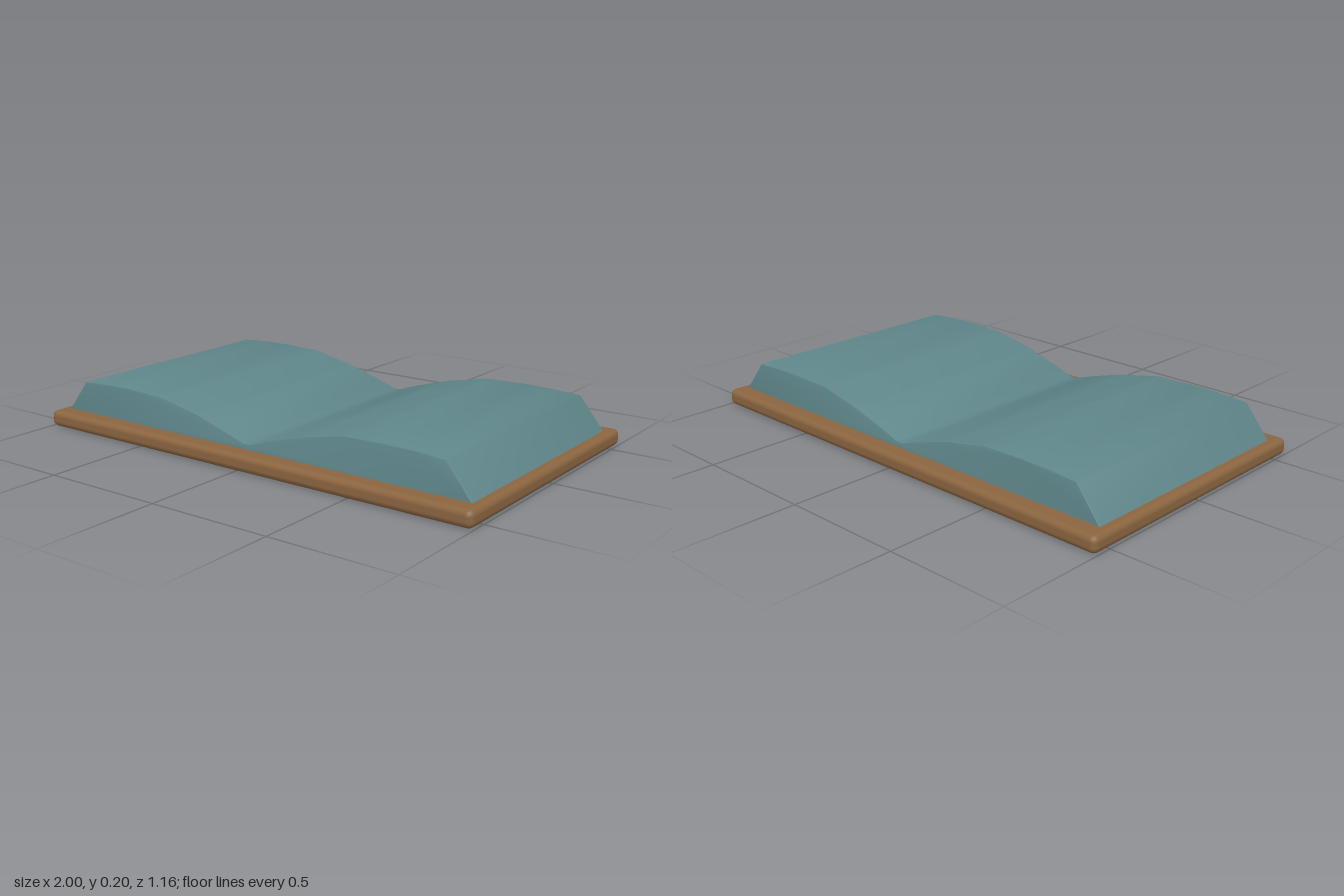
import * as THREE from 'three';
import { RoundedBoxGeometry } from 'three/addons/geometries/RoundedBoxGeometry.js';
import { toCreasedNormals } from 'three/addons/utils/BufferGeometryUtils.js';

const COVER = { width: 2, height: 0.067, depth: 1.16 };
const PAGE_DEPTH = 1.015;
const BEVEL = 0.006;

export function createModel() {
  const group = new THREE.Group();
  group.name = 'openBook';

  // Cover board with softly rounded edges
  const cover = new THREE.Mesh(
    new RoundedBoxGeometry(COVER.width, COVER.height, COVER.depth, 2, 0.024),
    new THREE.MeshStandardMaterial({ color: 0x8b6540 })
  );
  cover.name = 'cover';
  cover.position.y = COVER.height / 2;
  group.add(cover);

  // Half profile of the pages, from the outer foot to the centre gutter
  const half = [
    [0.966, 0.06], [0.857, 0.195], [0.74, 0.203], [0.62, 0.205], [0.44, 0.2],
    [0.25, 0.161], [0.1, 0.117], [0.015, 0.088],
  ];
  const mirrored = half.map(([x, y]) => [-x, y]).reverse();
  const profile = new THREE.Shape([...half, ...mirrored].map(([x, y]) => new THREE.Vector2(x, y)));

  // Page block: both leaves in one piece, with a fine bevel front and back
  const pagesGeometry = new THREE.ExtrudeGeometry(profile, {
    depth: PAGE_DEPTH - 2 * BEVEL,
    bevelEnabled: true,
    bevelThickness: BEVEL,
    bevelSize: BEVEL,
    bevelOffset: -BEVEL,
    bevelSegments: 2,
  });
  pagesGeometry.translate(0, 0, -PAGE_DEPTH / 2 + BEVEL);
  const pages = new THREE.Mesh(
    toCreasedNormals(pagesGeometry, 0.4),
    new THREE.MeshStandardMaterial({ color: 0x5f868a })
  );
  pages.name = 'pages';
  group.add(pages);

  return group;
}
